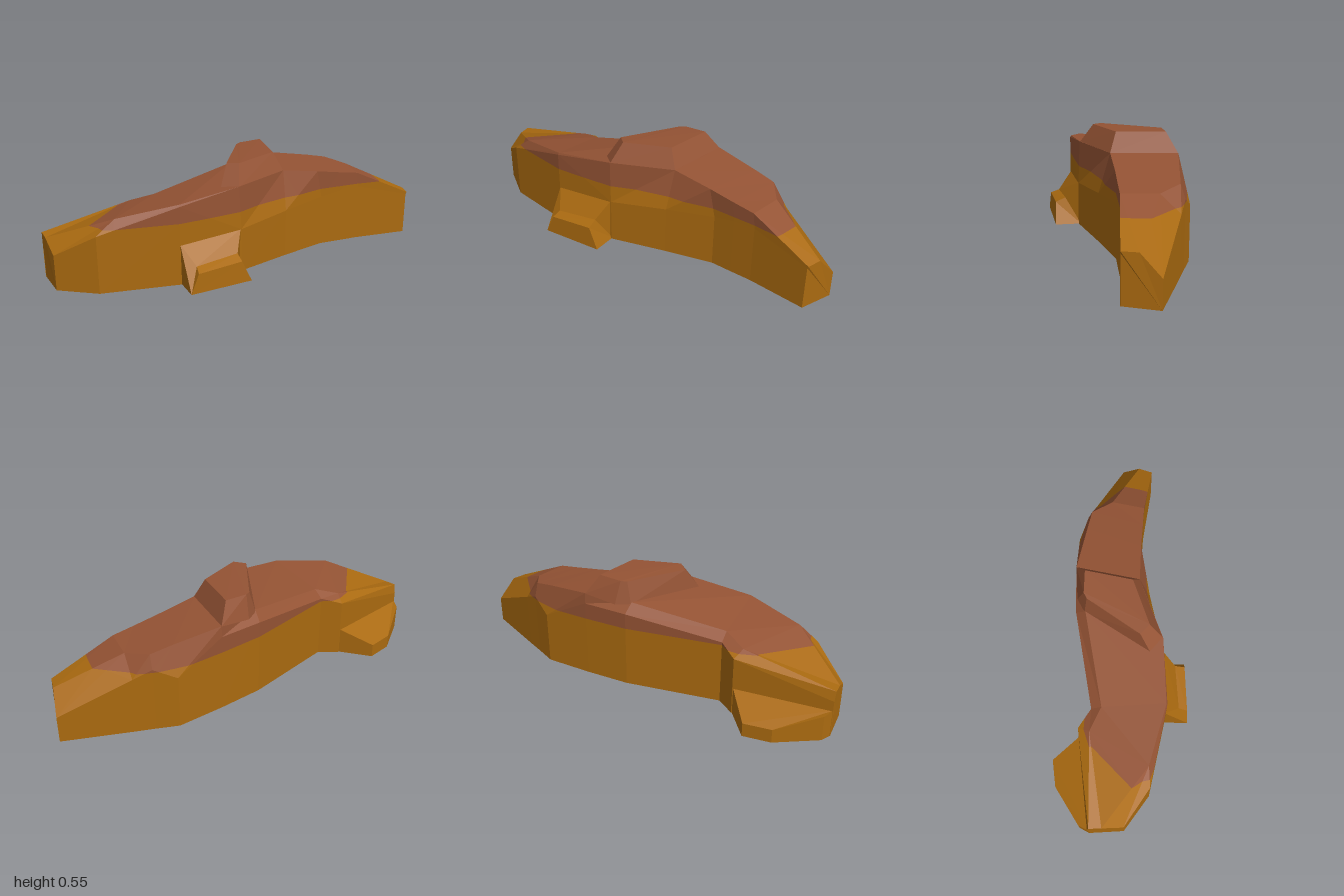
import * as THREE from 'three';

const SPLIT = 0.315; // height where the lower colour gives way to the upper one

// Fan a polygon into triangles
function fan(tris, pts) {
  for (let i = 1; i < pts.length - 1; i++) tris.push([pts[0], pts[i], pts[i + 1]]);
}

// Loft matching open profiles (front base over the top to back base), closed below and at the ends
function loft(sections) {
  const tris = [], n = sections[0].length;
  for (let i = 0; i < sections.length - 1; i++) {
    const s = sections[i], t = sections[i + 1];
    for (let j = 0; j < n; j++) {
      const k = (j + 1) % n;
      fan(tris, [s[j], t[j], t[k], s[k]]);
    }
  }
  fan(tris, sections[0]);
  fan(tris, [...sections[sections.length - 1]].reverse());
  return tris;
}

// Join a lower and an upper ring, both anticlockwise from above
function frustum(low, top) {
  const tris = [];
  low.forEach((p, i) => {
    const k = (i + 1) % low.length;
    fan(tris, [p, low[k], top[k], top[i]]);
  });
  fan(tris, top);
  fan(tris, [...low].reverse());
  return tris;
}

// Keep the part of each triangle above (sign 1) or below (sign -1) the split height
function clip(tris, sign) {
  const out = [];
  for (const tri of tris) {
    const poly = [];
    tri.forEach((a, i) => {
      const b = tri[(i + 1) % 3];
      const da = sign * (a[1] - SPLIT), db = sign * (b[1] - SPLIT);
      if (da >= 0) poly.push(a);
      if (da * db < 0) poly.push(a.map((v, c) => v + (b[c] - v) * da / (da - db)));
    });
    if (poly.length > 2) fan(out, poly);
  }
  return out;
}

export function createModel() {
  const group = new THREE.Group();
  const ochre = new THREE.MeshStandardMaterial({ name: 'ochre', color: 0xaa6a10 });
  const brown = new THREE.MeshStandardMaterial({ name: 'brown', color: 0x945334 });

  function add(name, tris) {
    const part = new THREE.Group();
    part.name = name;
    for (const [label, sign, mat] of [['Lower', -1, ochre], ['Upper', 1, brown]]) {
      const kept = clip(tris, sign);
      if (!kept.length) continue;
      const geo = new THREE.BufferGeometry();
      geo.setAttribute('position', new THREE.Float32BufferAttribute(kept.flat(2), 3));
      geo.computeVertexNormals();
      const mesh = new THREE.Mesh(geo, mat);
      mesh.name = name + label;
      part.add(mesh);
    }
    group.add(part);
  }

  // Main ridge: front rim, front crest, back crest, back rim at each station
  const stations = [
    [[-0.955, 0.18, 0.16], [-0.985, 0.235, 0.06], [-1, 0.24, 0], [-1, 0.19, -0.01]],
    [[-0.76, 0.29, 0.25], [-0.67, 0.36, 0.225], [-0.56, 0.33, -0.09], [-0.55, 0.30, -0.15]],
    [[-0.37, 0.40, 0.255], [-0.37, 0.41, 0.25], [-0.44, 0.365, -0.055], [-0.45, 0.33, -0.105]],
    [[-0.05, 0.225, 0.18], [-0.06, 0.445, 0.173], [0, 0.44, -0.23], [0, 0.395, -0.28]],
    [[0.22, 0.25, 0.057], [0.22, 0.45, 0], [0.22, 0.455, -0.325], [0.22, 0.40, -0.33]],
    [[0.45, 0.27, -0.04], [0.42, 0.417, -0.033], [0.46, 0.42, -0.325], [0.46, 0.27, -0.375]],
    [[0.56, 0.29, -0.053], [0.55, 0.395, -0.05], [0.57, 0.40, -0.325], [0.57, 0.33, -0.348]],
    [[0.67, 0.30, -0.067], [0.66, 0.378, -0.065], [0.66, 0.38, -0.235], [0.66, 0.29, -0.328]],
    [[0.965, 0.225, -0.08], [0.97, 0.235, -0.08], [0.98, 0.235, -0.155], [1, 0.135, -0.248]],
  ];
  const ground = ([x, , z]) => [x, 0, z];
  add('ridge', loft(stations.map(s => [ground(s[0]), ...s, ground(s[3])])));

  // Raised summit block
  add('summit', frustum(
    [[-0.06, 0.44, 0.173], [0.22, 0.45, 0], [0.22, 0.453, -0.325], [0.06, 0.43, -0.285],
      [0, 0.43, -0.235], [-0.14, 0.43, 0.125]],
    [[-0.04, 0.54, 0.10], [0.17, 0.545, -0.025], [0.17, 0.548, -0.265], [0.055, 0.543, -0.245],
      [0.03, 0.54, -0.225], [-0.095, 0.535, 0.065]],
  ));

  // Low shelf behind the tail
  const shelf = [[-1, 0.14, -0.004], [-0.55, 0.14, -0.145], [-0.69, 0.07, -0.265],
    [-0.82, 0.07, -0.22], [-0.985, 0.13, -0.06]];
  add('backShelf', frustum(shelf.map(ground), shelf));

  // Stepped ledge against the front wall
  add('frontLedge', loft([
    [[-0.345, 0, 0.375], [-0.305, 0.097, 0.36], [-0.305, 0.115, 0.315], [-0.37, 0.21, 0.25], [-0.37, 0, 0.24]],
    [[-0.03, 0, 0.3], [-0.08, 0.11, 0.305], [-0.09, 0.133, 0.255], [-0.055, 0.225, 0.18], [-0.055, 0, 0.17]],
  ]));

  return group;
}
